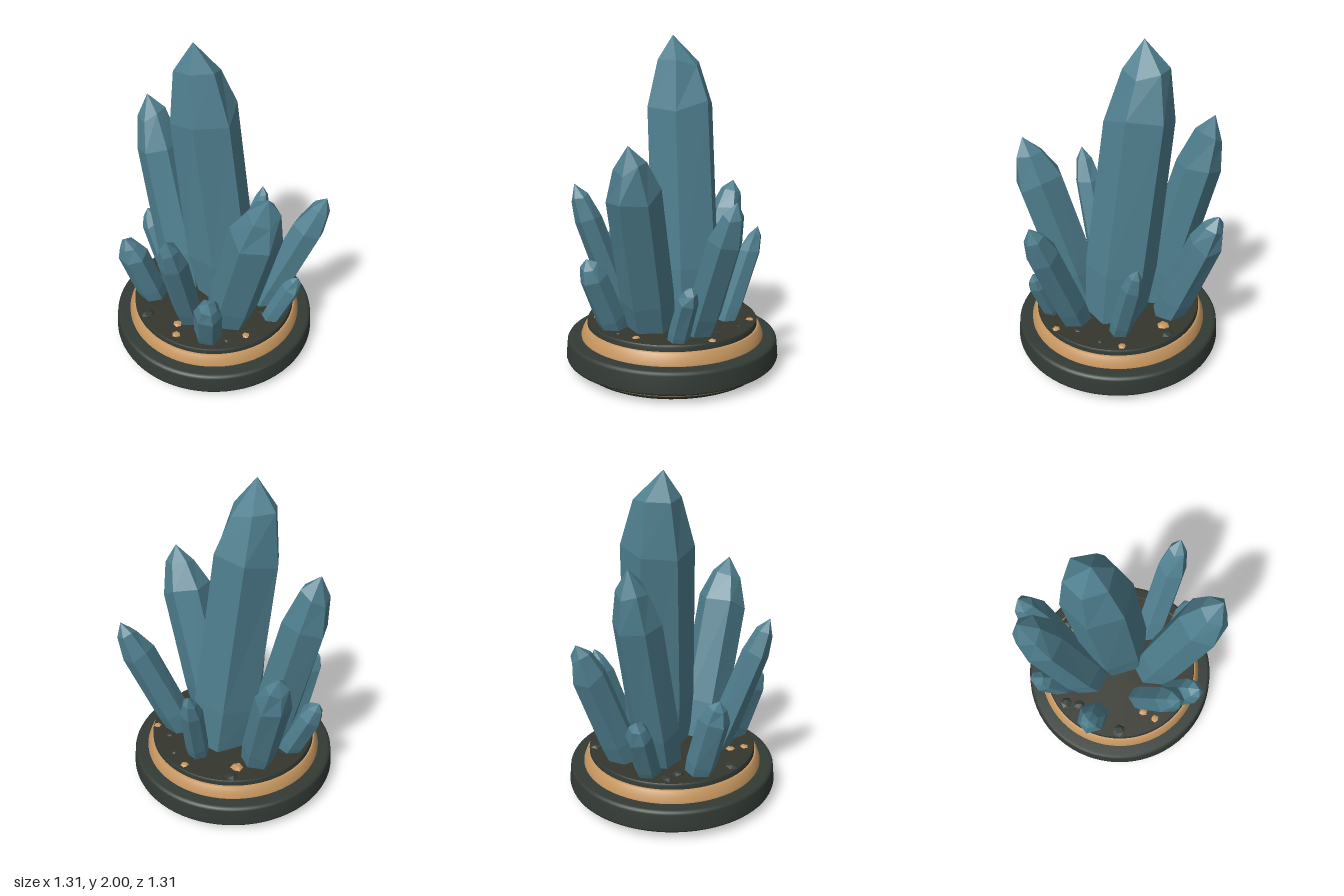
import * as THREE from 'three';

const mat = (name, color) => {
  const m = new THREE.MeshStandardMaterial({ color });
  m.name = name;
  return m;
};

function seeded(seed) {
  let s = seed;
  return () => ((s = (s * 16807) % 2147483647) / 2147483647);
}

// Profile along a crystal: [fraction of length, fraction of radius]
const RINGS = [[0, 0.92], [0.2, 1.04], [0.75, 1], [0.905, 0.62]];
const SIDES = 6;

// Faceted six-sided crystal leaning from base to tip
function crystalGeometry(base, tip, radius, phase, seed, apex = tip) {
  const rnd = seeded(seed * 7919 + 13);
  rnd();
  const b = new THREE.Vector3(...base);
  const axis = new THREE.Vector3(...tip).sub(b);
  const length = axis.length();
  const q = new THREE.Quaternion().setFromUnitVectors(
    new THREE.Vector3(0, 1, 0), axis.normalize());
  const rings = RINGS.map(([t, r], k) => {
    const jitter = k < 2 ? 0.02 : 0.06;
    return Array.from({ length: SIDES }, (_, i) => {
      const a = phase + (i / SIDES) * Math.PI * 2;
      const rr = radius * r * (1 + (rnd() - 0.5) * 2 * jitter);
      const h = length * t + (k < 2 ? 0 : (rnd() - 0.5) * radius * 0.4);
      return new THREE.Vector3(Math.cos(a) * rr, h, Math.sin(a) * rr)
        .applyQuaternion(q).add(b);
    });
  });
  const top = new THREE.Vector3(...apex);
  const pts = [];
  for (let i = 0; i < SIDES; i++) {
    const j = (i + 1) % SIDES;
    for (let k = 0; k < rings.length - 1; k++) {
      const lo = rings[k], hi = rings[k + 1];
      pts.push(lo[i], hi[i], lo[j], lo[j], hi[i], hi[j]);
    }
    const last = rings[rings.length - 1];
    pts.push(last[i], top, last[j]);
    pts.push(rings[0][i], rings[0][j], b);
  }
  const g = new THREE.BufferGeometry().setFromPoints(pts);
  g.computeVertexNormals();
  return g;
}

// Turned ring from a profile; each straight run keeps its own normals
function turned(points) {
  return new THREE.LatheGeometry(points.map(([r, y]) => new THREE.Vector2(r, y)), 72);
}

export function createModel() {
  const group = new THREE.Group();
  const stone = mat('dark stone', 0x333b35);
  const soil = mat('plinth top', 0x35372e);
  const brass = mat('brass', 0xc6965f);
  const crystal = mat('blue crystal', 0x4f7f8f);

  const add = (name, geometry, material, parent = group) => {
    const m = new THREE.Mesh(geometry, material);
    m.name = name;
    parent.add(m);
    return m;
  };

  // Round plinth
  add('plinthFoot', turned([[0, 0], [0.57, 0], [0.585, 0.015], [0.59, 0.035]]), stone);
  add('lowerBrassRing', turned([[0.58, 0.032], [0.61, 0.032], [0.62, 0.04], [0.62, 0.047], [0.61, 0.055]]), brass);
  add('plinthRim', turned([[0.58, 0.052], [0.64, 0.052], [0.652, 0.058], [0.656, 0.07],
    [0.647, 0.165], [0.64, 0.178], [0.625, 0.184], [0.5, 0.184]]), stone);
  add('upperBrassRing', turned([[0.563, 0.18], [0.563, 0.192], [0.552, 0.222], [0.538, 0.25], [0.53, 0.255], [0.5, 0.255]]), brass);
  add('plinthStep', turned([[0.525, 0.25], [0.525, 0.28], [0.518, 0.29]]), stone);
  const disc = add('plinthTop', new THREE.CircleGeometry(0.52, 72), soil);
  disc.rotation.x = -Math.PI / 2;
  disc.position.y = 0.29;

  // Crystals: name, base, tip, radius, phase, optional apex
  const crystals = new THREE.Group();
  crystals.name = 'crystals';
  group.add(crystals);
  [
    ['mainCrystal', [0.03, 0.26, -0.1], [-0.17, 2, -0.02], 0.212, 0.05, [-0.145, 2, 0.01]],
    ['leftTallCrystal', [-0.23, 0.26, 0.02], [-0.565, 1.545, -0.01], 0.142, 0.3],
    ['rightTallCrystal', [0.21, 0.26, 0.1], [0.55, 1.39, 0.175], 0.15, 0.4],
    ['backRightCrystal', [0.28, 0.26, -0.17], [0.54, 1.1, -0.4], 0.1, 0.2],
    ['backLeftCrystal', [-0.29, 0.26, -0.18], [-0.53, 1.07, -0.36], 0.105, 0.6],
    ['frontCrystal', [0.05, 0.26, 0.27], [0.17, 1.13, 0.56], 0.085, 0.35],
    ['frontLeftCrystal', [-0.27, 0.26, 0.28], [-0.347, 0.79, 0.43], 0.09, 0.1],
    ['frontRightCrystal', [0.24, 0.26, 0.31], [0.375, 0.73, 0.45], 0.085, 0.5],
    ['leftSmallCrystal', [-0.4, 0.26, 0.02], [-0.59, 0.695, 0.03], 0.075, 0.25],
    ['backCrystal', [0.04, 0.26, -0.33], [-0.04, 0.855, -0.52], 0.068, 0.15],
    ['rightSmallCrystal', [0.42, 0.26, -0.07], [0.545, 0.63, -0.165], 0.06, 0.45],
  ].forEach(([name, base, tip, r, phase, apex], i) =>
    add(name, crystalGeometry(base, tip, r, phase, i + 1, apex), crystal, crystals));

  // Loose pebbles on the plinth: x, z, radius
  const pebbles = new THREE.Group();
  pebbles.name = 'pebbles';
  group.add(pebbles);
  const scatter = (name, list, material) => list.forEach(([x, z, r], i) => {
    const p = add(name, new THREE.IcosahedronGeometry(r), material, pebbles);
    p.position.set(x, 0.29, z);
    p.scale.y = 0.4;
    p.rotation.y = i * 1.3;
  });
  scatter('darkPebble', [[-0.25, -0.41, 0.042], [-0.44, 0.15, 0.042], [-0.36, 0.19, 0.038],
    [-0.16, 0.45, 0.045], [0.165, -0.42, 0.02], [0.36, -0.06, 0.026], [0.29, -0.3, 0.022],
    [0.36, 0.27, 0.02]], stone);
  scatter('brassPebble', [[-0.24, -0.325, 0.04], [0.04, -0.48, 0.026], [0.04, 0.38, 0.03],
    [0.1, 0.45, 0.028], [0.42, 0.16, 0.025], [0.42, -0.27, 0.025]], brass);

  return group;
}
